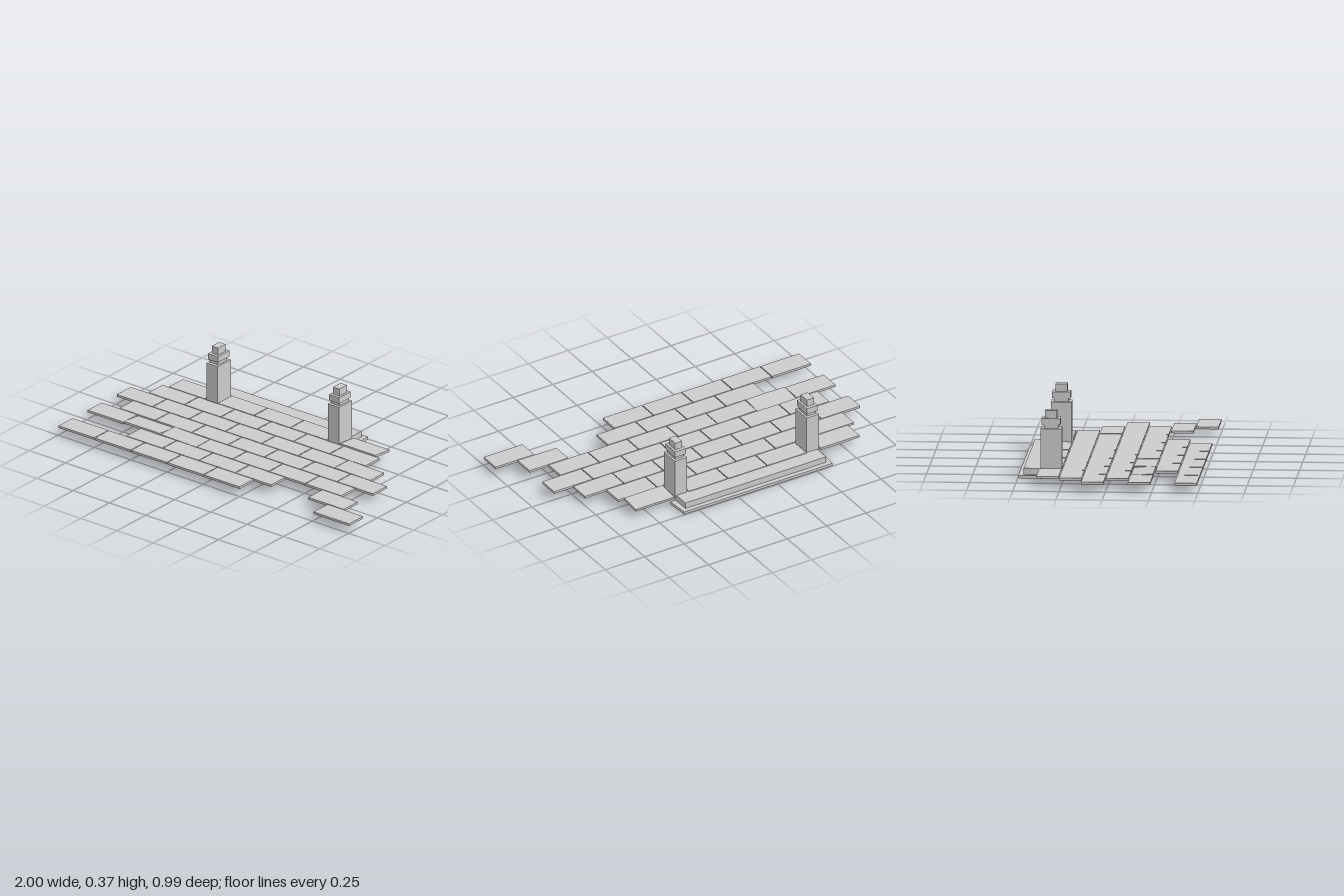
import * as THREE from 'three';

const material = new THREE.MeshStandardMaterial({ color: 0xcccccc, flatShading: true });
const openMaterial = new THREE.MeshStandardMaterial({ color: 0xcccccc, flatShading: true, side: THREE.DoubleSide });

function box(parent, name, size, position) {
  const mesh = new THREE.Mesh(new THREE.BoxGeometry(...size), material);
  mesh.name = name;
  mesh.position.set(...position);
  parent.add(mesh);
  return mesh;
}

// Square gate post: open-bottomed shaft, neck, ledge and cap
function createPillar(name, x) {
  const pillar = new THREE.Group();
  pillar.name = name;
  pillar.position.set(x, 0, -0.322);
  const tiers = [
    ['shaft', 0.077, 0.113, 0.045, 0.27],
    ['neck', 0.054, 0.078, 0.27, 0.29],
    ['ledge', 0.068, 0.101, 0.29, 0.325],
    ['cap', 0.044, 0.064, 0.325, 0.367],
  ];
  for (const [part, w, d, y0, y1] of tiers) {
    const mesh = box(pillar, part, [w, y1 - y0, d], [0, (y0 + y1) / 2, 0]);
    if (part === 'shaft') {
      // Drop the bottom face (the fourth side of the box)
      const index = Array.from(mesh.geometry.index.array);
      index.splice(18, 6);
      mesh.geometry.setIndex(index);
      mesh.geometry.clearGroups();
      mesh.material = openMaterial;
    }
  }
  return pillar;
}

// Lower step, slightly narrower along its back edge
function createLowerStep() {
  const geometry = new THREE.BoxGeometry(0.96, 0.016, 0.127);
  const p = geometry.attributes.position;
  for (let i = 0; i < p.count; i++) {
    if (p.getZ(i) < 0) p.setX(i, p.getX(i) * 0.98);
  }
  geometry.computeVertexNormals();
  const mesh = new THREE.Mesh(geometry, material);
  mesh.name = 'lowerStep';
  mesh.position.set(-0.128, 0.008, -0.4335);
  return mesh;
}

export function createModel() {
  const model = new THREE.Group();
  model.name = 'pavedEntrance';

  // Paving rows from back to front: left edges of the slabs
  const run = (start, count) => Array.from({ length: count }, (_, i) => start + i * 0.25);
  const rows = [
    [-0.84, -0.503, -0.253, -0.003, 0.335],
    run(-0.882, 6),
    run(-1, 7),
    run(-0.882, 7),
    run(-1, 7),
    [...run(-0.632, 4), 0.618],
    [...run(-1, 5), 0.755],
  ];
  // A few slabs have settled unevenly: [tilt about x, tilt about z]
  const settled = {
    '0,4': [-0.09, 0],
    '4,1': [-0.09, 0],
    '4,2': [0, -0.015],
    '2,6': [0, -0.015],
  };
  const paving = new THREE.Group();
  paving.name = 'paving';
  rows.forEach((starts, r) => {
    starts.forEach((x, i) => {
      const slab = box(paving, 'slab', [0.245, 0.013, 0.121], [x + 0.1225, 0.048, -0.323 + r * 0.1262]);
      const tilt = settled[`${r},${i}`];
      if (tilt) slab.rotation.set(-tilt[0] * -1, 0, tilt[1]);
    });
  });
  model.add(paving);

  // Steps behind the paving
  model.add(createLowerStep());
  box(model, 'upperStep', [0.893, 0.035, 0.1], [-0.128, 0.0335, -0.42]);

  model.add(createPillar('rightPillar', -0.546), createPillar('leftPillar', 0.289));
  return model;
}
